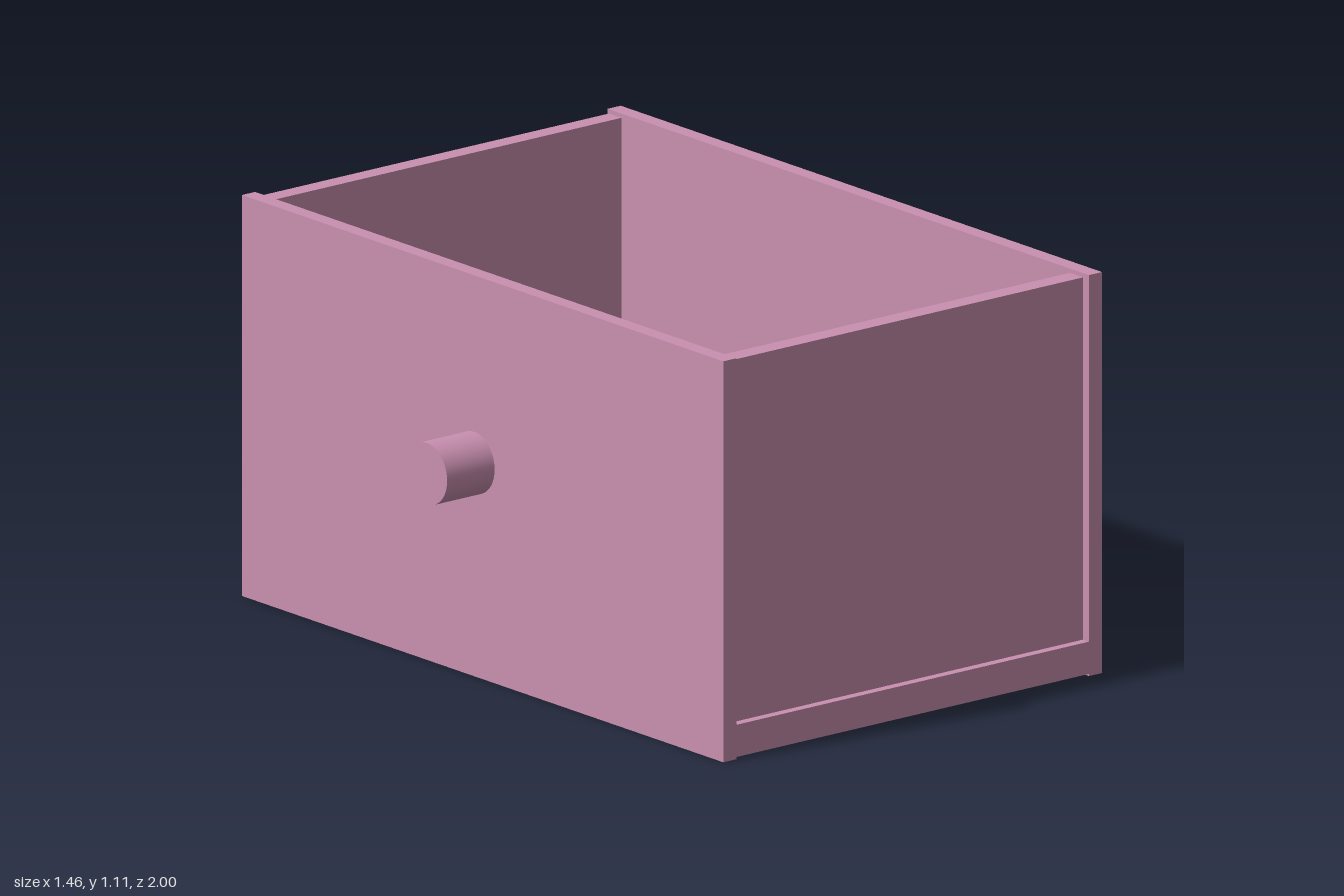
import * as THREE from 'three';

export function createModel() {
  const group = new THREE.Group();
  const pink = new THREE.MeshStandardMaterial({ color: 0xc98fb0 });
  pink.name = 'dusty pink';

  // Box given by its minimum and maximum corners
  function board(name, [x0, y0, z0], [x1, y1, z1]) {
    const geometry = new THREE.BoxGeometry(x1 - x0, y1 - y0, z1 - z0);
    const mesh = new THREE.Mesh(geometry, pink);
    mesh.name = name;
    mesh.position.set((x0 + x1) / 2, (y0 + y1) / 2, (z0 + z1) / 2);
    group.add(mesh);
  }

  const innerRight = -0.525, innerLeft = 0.685;

  // Tall side boards
  board('rightSide', [-0.57, 0, -1], [innerRight, 1.107, 1]);
  board('leftSide', [innerLeft, 0, -1], [0.73, 1.107, 1]);

  // Thick floor, slightly raised between the sides
  board('floor', [innerRight, 0.006, -1], [innerLeft, 0.095, 1]);

  // End panels standing on the floor, set in from the edges
  board('frontPanel', [innerRight, 0.095, 0.92], [innerLeft, 1.095, 0.975]);
  board('backPanel', [innerRight, 0.095, -0.995], [innerLeft, 1.095, -0.943]);

  // Round knob on the right side
  const knob = new THREE.Mesh(new THREE.CylinderGeometry(0.085, 0.085, 0.165, 48), pink);
  knob.name = 'knob';
  knob.rotation.z = Math.PI / 2;
  knob.position.set(-0.6505, 0.59, -0.035);
  group.add(knob);

  return group;
}
